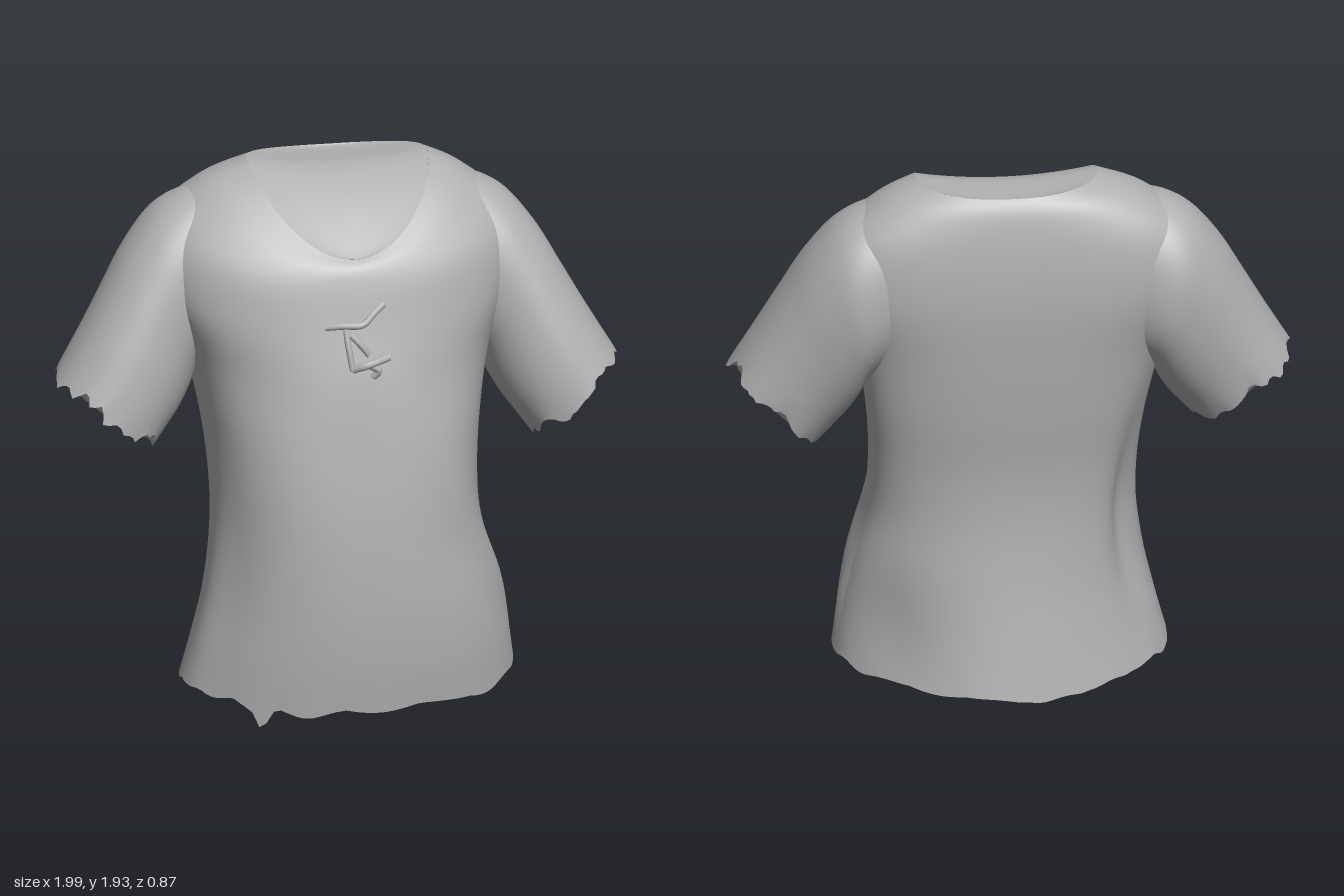
import * as THREE from 'three';

const cloth = new THREE.MeshStandardMaterial({ color: 0xb0b0b0, side: THREE.DoubleSide });
cloth.name = 'grey cloth';

// Smooth interpolation through rows of section numbers, t from 0 to 1
function sample(rows, t) {
  const f = t * (rows.length - 1);
  const i = Math.min(Math.floor(f), rows.length - 2);
  const k = f - i;
  const at = (n) => rows[Math.max(0, Math.min(rows.length - 1, n))];
  return rows[i].map((p1, c) => {
    const p0 = at(i - 1)[c], p2 = at(i + 1)[c], p3 = at(i + 2)[c];
    return p1 + 0.5 * k * (p2 - p0 + k * (2 * p0 - 5 * p1 + 4 * p2 - p3 + k * (3 * (p1 - p2) + p3 - p0)));
  });
}

// Grid surface from point(u, v); closed ones wrap round in u
function skin(name, point, nu, nv, { flip = false, closed = true } = {}) {
  const pos = [], index = [];
  const cols = closed ? nu : nu + 1;
  for (let j = 0; j <= nv; j++) {
    for (let i = 0; i < cols; i++) pos.push(...point(i / nu, j / nv).toArray());
  }
  for (let j = 0; j < nv; j++) {
    for (let i = 0; i < nu; i++) {
      const a = j * cols + i, b = j * cols + ((i + 1) % cols), c = a + cols, d = b + cols;
      if (flip) index.push(a, b, c, b, d, c);
      else index.push(a, c, b, b, c, d);
    }
  }
  const g = new THREE.BufferGeometry();
  g.setAttribute('position', new THREE.Float32BufferAttribute(pos, 3));
  g.setIndex(index);
  g.computeVertexNormals();
  const mesh = new THREE.Mesh(g, cloth);
  mesh.name = name;
  return mesh;
}

const TURN = Math.PI * 2;

// Cloth closing an opening: torn at the rim, smooth and slightly sunk inside
function cap(name, rim, nu, sink, flip) {
  const mid = new THREE.Vector3();
  for (let i = 0; i < nu; i++) mid.addScaledVector(rim((i / nu) * TURN, 0), 1 / nu);
  return skin(name, (u, v) => rim(u * TURN, Math.max(0, 1 - v * 10))
    .lerp(mid, v * 0.999)
    .addScaledVector(sink, 1 - (1 - v) ** 2), nu, 20, { flip });
}

const power = (c, e) => Math.sign(c) * Math.pow(Math.abs(c), e);
const bump = (d, w) => Math.exp(-(d * d) / (w * w));

// Torn edge, roughly -1 to 1
const ragged = (a) =>
  0.45 * Math.sin(5 * a + 1) + 0.35 * Math.sin(13 * a + 2 * Math.sin(3 * a)) +
  0.35 * (1 - 2 * Math.abs(Math.sin(9.5 * a + Math.sin(2 * a))) ** 0.6) * Math.sin(a / 2);

// Torso rings: y front, y side, y back, x right, x left, z front, z side, z back,
// roundness of the front half, roundness of the back half
const torsoRows = [
  [0.07, 0.11, 0.05, -0.56, 0.62, 0.42, 0.0, -0.43, 0.93, 1.03],
  [0.24, 0.25, 0.23, -0.52, 0.60, 0.435, -0.01, -0.40, 0.88, 1.0],
  [0.44, 0.44, 0.44, -0.475, 0.56, 0.44, -0.03, -0.37, 0.83, 0.95],
  [0.66, 0.66, 0.66, -0.45, 0.505, 0.43, -0.06, -0.35, 0.78, 0.88],
  [0.86, 0.86, 0.86, -0.45, 0.495, 0.41, -0.10, -0.355, 0.73, 0.82],
  [1.06, 1.08, 1.08, -0.475, 0.515, 0.38, -0.14, -0.385, 0.74, 0.78],
  [1.26, 1.30, 1.30, -0.53, 0.56, 0.345, -0.15, -0.41, 0.86, 0.74],
  [1.44, 1.54, 1.52, -0.63, 0.64, 0.30, -0.16, -0.425, 0.92, 0.65],
  [1.58, 1.735, 1.71, -0.61, 0.62, 0.265, -0.165, -0.415, 0.93, 0.65],
  [1.65, 1.87, 1.85, -0.46, 0.48, 0.24, -0.165, -0.39, 0.97, 0.74],
  [1.68, 1.94, 1.91, -0.29, 0.35, 0.21, -0.17, -0.36, 1, 0.85],
];

function torsoPoint(a, v, tear) {
  const [yF, yS, yB, xR, xL, zF, zS, zB, eF, eB] = sample(torsoRows, v);
  const c = Math.cos(a), s = Math.sin(a);
  const e = s > 0 ? eF : eB;
  let x = (xL + xR) / 2 + ((xL - xR) / 2) * power(c, e);
  let z = zS + (s > 0 ? zF - zS : zS - zB) * power(s, e);
  let y = yS + ((s > 0 ? yF : yB) - yS) * Math.pow(Math.abs(s), 1.6);
  // Hollows behind both flanks and diagonal folds in front of them
  const hollowR = 0.06 * bump(a - 3.55, 0.3) * bump(y - 0.62, 0.38);
  const hollowL = 0.04 * bump(a - 5.6, 0.4) * bump(y - 0.22, 0.25);
  const foldL = 0.015 * bump(a - (0.95 - 1.5 * (0.95 - y)), 0.22) * bump(y - 0.5, 0.38);
  const foldR = 0.02 * bump(a - 2.85, 0.2) * bump(y - 0.35, 0.4);
  const out = foldL + foldR - hollowR - hollowL;
  x += c * out;
  z += s * out;
  // Torn hem with one long thread
  const w = Math.max(0, 1 - v * 10) * tear;
  y += w * (0.021 * ragged(a) - 0.065 * bump(a - 2.19, 0.045));
  return new THREE.Vector3(x, Math.max(0, y), z);
}

// Sleeve rings: top x, top y, bottom x, bottom y, z middle, z half depth
const sleeveRows = [
  [0.40, 1.85, 0.42, 1.26, -0.165, 0.205],
  [0.51, 1.842, 0.47, 1.24, -0.165, 0.23],
  [0.625, 1.78, 0.52, 1.20, -0.16, 0.243],
  [0.73, 1.655, 0.55, 1.13, -0.135, 0.24],
  [0.815, 1.51, 0.59, 1.06, -0.105, 0.235],
  [0.895, 1.37, 0.635, 1.00, -0.08, 0.23],
  [0.985, 1.22, 0.68, 0.94, -0.06, 0.225],
];

function sleevePoint(side, b, v, tear) {
  let [tx, ty, bx, by, zc, hz] = sample(sleeveRows, v);
  if (side < 0) {
    bx -= 0.04;
    by += 0.03 * v;
  }
  const c = power(Math.cos(b), 0.92), s = power(Math.sin(b), 0.92);
  const p = new THREE.Vector3(
    side * ((tx + bx) / 2 + ((tx - bx) / 2) * c),
    (ty + by) / 2 + ((ty - by) / 2) * c,
    zc - side * hz * s
  );
  // Torn cuff pulled along the arm
  const w = Math.max(0, 1 - (1 - v) * 8) * 0.035 * ragged(b + side + 2) * tear;
  return p.add(new THREE.Vector3(side * 0.55 * w, -0.85 * w, 0));
}

// Cloth across the neck, spanned from side to side with a slight sag
function neckPoint(u, v) {
  const a = (v - 0.5) * Math.PI;
  const p = torsoPoint(a, 1, 0).lerp(torsoPoint(Math.PI - a, 1, 0), u);
  p.y -= 0.03 * 4 * u * (1 - u) * Math.cos(a);
  return p;
}

// Thin cord through a few points
function cord(name, points, radius) {
  const curve = new THREE.CatmullRomCurve3(points.map((p) => new THREE.Vector3(...p)));
  const mesh = new THREE.Mesh(new THREE.TubeGeometry(curve, 20, radius, 8), cloth);
  mesh.name = name;
  return mesh;
}

export function createModel() {
  const shirt = new THREE.Group();
  shirt.name = 'tornShirt';

  // Body with closed neck and hem
  shirt.add(skin('torso', (u, v) => torsoPoint(u * TURN, v, 1), 128, 60));
  shirt.add(skin('neckPanel', neckPoint, 24, 32, { flip: true, closed: false }));
  shirt.add(cap('hemPanel', (a, tear) => torsoPoint(a, 0, tear), 128, new THREE.Vector3(0, 0.01, 0), true));

  // Sleeves with closed cuffs
  for (const side of [1, -1]) {
    const sleeve = new THREE.Group();
    sleeve.name = side > 0 ? 'leftSleeve' : 'rightSleeve';
    sleeve.add(skin('sleeve', (u, v) => sleevePoint(side, u * TURN, v, 1), 72, 32));
    sleeve.add(cap('cuffPanel', (b, tear) => sleevePoint(side, b, 1, tear), 72,
      new THREE.Vector3(-side * 0.025, 0.035, 0), false));
    shirt.add(sleeve);
  }

  // Torn lacing on the chest
  const lacing = new THREE.Group();
  lacing.name = 'chestLacing';
  lacing.add(
    cord('upperLace', [[-0.09, 1.46, 0.285], [-0.03, 1.468, 0.302], [0.04, 1.468, 0.302], [0.08, 1.5, 0.286], [0.12, 1.53, 0.266]], 0.012),
    cord('tornEdge', [[-0.02, 1.46, 0.29], [-0.012, 1.39, 0.314], [0, 1.31, 0.332]], 0.011),
    cord('tornFlap', [[0.0, 1.43, 0.298], [0.03, 1.4, 0.312], [0.06, 1.36, 0.316]], 0.012),
    cord('lowerLace', [[0, 1.315, 0.333], [0.05, 1.335, 0.352], [0.13, 1.35, 0.32]], 0.014),
    cord('looseEnd', [[0.06, 1.33, 0.343], [0.09, 1.31, 0.345], [0.07, 1.285, 0.336]], 0.012)
  );
  shirt.add(lacing);

  return shirt;
}
